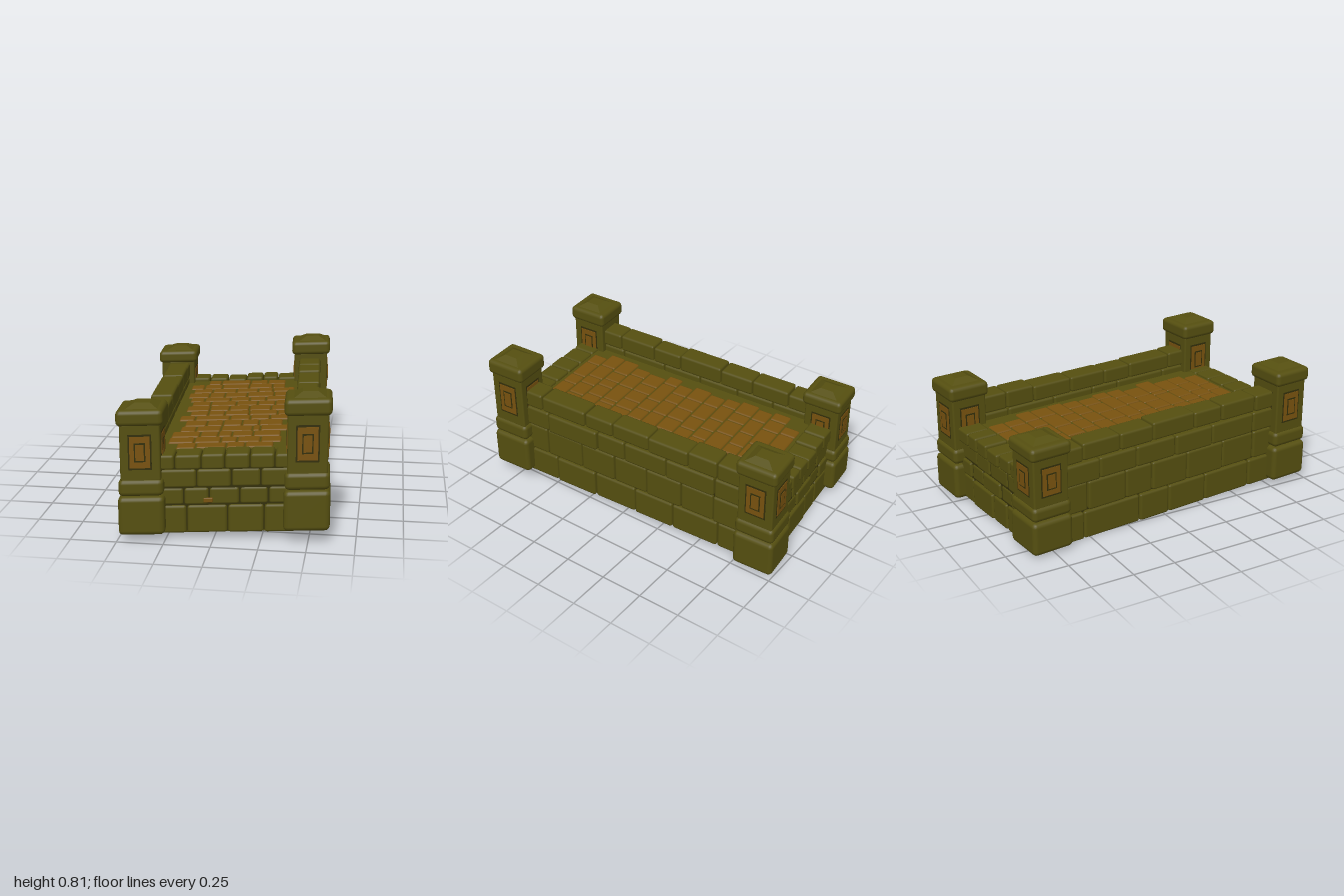
import * as THREE from 'three';
import { mergeGeometries } from 'three/addons/utils/BufferGeometryUtils.js';
import { RoundedBoxGeometry } from 'three/addons/geometries/RoundedBoxGeometry.js';

// small seeded random, returns -1..1
let seed = 7;
const rnd = () => {
  seed = (seed * 16807) % 2147483647;
  return (seed / 2147483647) * 2 - 1;
};

// the whole structure sits slightly turned and tilted
const lift = (x, z) => 0.03 * x + 0.02 * z;
function warp(g) {
  const p = g.attributes.position;
  for (let i = 0; i < p.count; i++) {
    const x = p.getX(i), y = p.getY(i), z = p.getZ(i);
    p.setXYZ(i, x + 0.067 * z, Math.max(0, y + lift(x, z)), z - 0.11 * x);
  }
  return g;
}

// rounded stone given by centre and size
function stone(x, y, z, w, h, d, r = 0.014, seg = 1) {
  const g = new RoundedBoxGeometry(w, h, d, seg, Math.min(r, w / 2.1, h / 2.1, d / 2.1));
  return g.translate(x, y, z);
}

// cut a span into n uneven pieces: list of [centre, length]
function pieces(a, b, n, wobble = 0.2) {
  const step = (b - a) / n, cuts = [a];
  for (let i = 1; i < n; i++) cuts.push(a + step * (i + rnd() * wobble));
  cuts.push(b);
  return cuts.slice(1).map((c, i) => [(c + cuts[i]) / 2, c - cuts[i] - 0.004]);
}

export function createModel() {
  const model = new THREE.Group();
  const material = (name, color) => {
    const m = new THREE.MeshStandardMaterial({ color });
    m.name = name;
    return m;
  };
  const olive = material('mossy stone', 0x554f10);
  const ochre = material('ochre stone', 0x78520f);
  const dark = material('dark joint', 0x332f0a);

  function add(name, list, mat, parent = model) {
    const flat = list.map((g) => (g.index ? g.toNonIndexed() : g));
    const mesh = new THREE.Mesh(warp(mergeGeometries(flat)), mat);
    mesh.name = name;
    parent.add(mesh);
  }
  const box = (x, y, z, w, h, d) => new THREE.BoxGeometry(w, h, d).translate(x, y, z);

  // dark core showing in the joints
  add('core', [box(0, 0.23, 0, 0.93, 0.4, 1.74)], dark);

  // long walls with raised rails
  const courses = [ // bottom, top, outer x, inner x, stone count
    [0.02, 0.185, 0.488, 0.4, 6],
    [0.188, 0.36, 0.486, 0.4, 7],
    [0.363, 0.485, 0.495, 0.36, 6],
    [0.488, 0.588, 0.487, 0.355, 7],
  ];
  for (const s of [-1, 1]) {
    const list = [];
    for (const [lo, hi, out, inn, n] of courses) {
      for (const [z, len] of pieces(-0.8, 0.8, n)) {
        const o = out + rnd() * 0.005, top = hi + (hi > 0.55 ? rnd() * 0.008 : 0);
        list.push(stone(s * (o + inn) / 2, (lo + top) / 2, z, o - inn, top - lo, len));
      }
    }
    add(s > 0 ? 'leftWall' : 'rightWall', list, olive);
  }

  // end walls with a low coping
  const endCourses = [
    [0.02, 0.175, 0.885, 4],
    [0.178, 0.272, 0.88, 5],
    [0.275, 0.375, 0.88, 4],
    [0.378, 0.462, 0.895, 6],
  ];
  for (const s of [-1, 1]) {
    const list = [];
    for (const [lo, hi, out, n] of endCourses) {
      for (const [x, len] of pieces(-0.36, 0.36, n)) {
        const o = out + rnd() * 0.005, top = hi + (hi > 0.45 ? rnd() * 0.006 : 0);
        list.push(stone(x, (lo + top) / 2, s * (o + 0.755) / 2, len, top - lo, o - 0.755));
      }
    }
    add(s > 0 ? 'frontWall' : 'backWall', list, olive);
  }
  add('frontPatch', [stone(-0.085, 0.205, 0.881, 0.05, 0.026, 0.012, 0.005)], ochre);

  // deck and its uneven paving rows
  add('deck', [box(0, 0.42, 0, 0.73, 0.05, 1.53)], olive);
  const paving = [];
  for (const [z, depth] of pieces(-0.74, 0.74, 14, 0.1)) {
    const edge = Math.abs(z) > 0.66 ? 0.24 : 0.3;
    const left = -edge + rnd() * 0.035, right = edge + rnd() * 0.035;
    for (const [x, len] of pieces(left, right, edge < 0.28 ? 4 : 5, 0.35)) {
      paving.push(stone(x, 0.441, z, len, 0.024 + rnd() * 0.003, depth, 0.011));
    }
  }
  add('pavingStones', paving, ochre);

  // shallow blocks on the underside
  const under = [];
  for (const [z, depth] of pieces(-0.86, 0.86, 10, 0.1)) {
    for (const [x, len] of pieces(-0.46, 0.46, 5)) under.push(stone(x, 0.03, z, len, 0.03, depth, 0.006));
  }
  add('undersideStones', under, olive);

  // corner pillars: [name, side x, side z, base y, height]
  const pillars = [
    ['frontRightPillar', -1, 1, 0.035, 0.71],
    ['frontLeftPillar', 1, 1, 0.068, 0.745],
    ['backRightPillar', -1, -1, 0.018, 0.64],
    ['backLeftPillar', 1, -1, 0.015, 0.715],
  ];
  for (const [name, sx, sz, base, h] of pillars) {
    const group = new THREE.Group();
    group.name = name;
    model.add(group);
    const px = 0.43 * sx, pz = 0.82 * sz, y0 = base - lift(px, pz);
    const layer = (a, b, w, r) => stone(px, y0 + h * (a + b) / 2, pz, w, h * (b - a), w, r, 2);
    add('pillarBase', [layer(0, 0.3, 0.243, 0.026)], olive, group);
    add('pillarBand', [layer(0.305, 0.435, 0.235, 0.026)], olive, group);
    add('pillarShaft', [layer(0.42, 0.86, 0.21, 0.01)], olive, group);
    const crown = new THREE.CylinderGeometry(0.055, 0.15, h * 0.05, 4).rotateY(Math.PI / 4).toNonIndexed();
    crown.computeVertexNormals();
    crown.translate(px + 0.008, y0 + h * 0.973, pz);
    add('pillarCap', [layer(0.845, 0.965, 0.243, 0.024), crown], olive, group);

    // framed panel on each face, as nested thin plates
    const plate = (w, ph, out) => [0, 1, 2, 3].map((k) =>
      new THREE.BoxGeometry(w, ph, 0.006)
        .translate(0, 0, 0.105 + out)
        .rotateY(k * Math.PI / 2)
        .translate(px, y0 + h * 0.645, pz));
    add('panelRecess', plate(0.122, h * 0.27, -0.002), dark, group);
    add('panelFrame', plate(0.106, h * 0.24, 0.001), ochre, group);
    add('panelGroove', plate(0.058, h * 0.145, 0.003), dark, group);
    add('panelCentre', plate(0.044, h * 0.122, 0.005), ochre, group);
  }
  return model;
}
